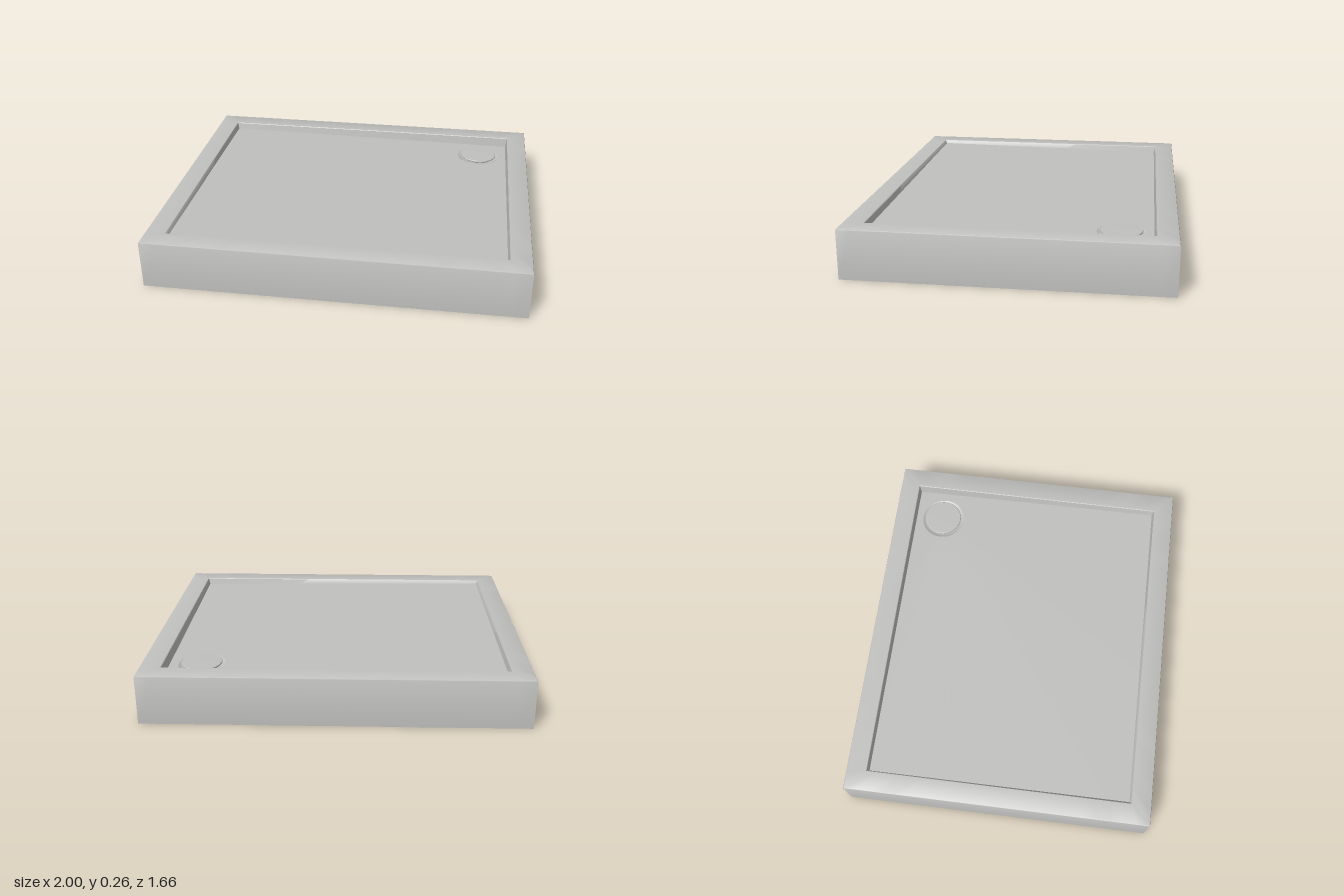
import * as THREE from 'three';
import { toCreasedNormals } from 'three/addons/utils/BufferGeometryUtils.js';

const DRAIN = { x: 0.71, z: -0.55, r: 0.107 };
const HEIGHT = 0.265;
const STEPS = 24; // points along each side of a ring

// Floor falls gently towards the drain corner
const floorY = (x, z) => HEIGHT - 0.037 - 0.01 * x + 0.013 * z;

// Rectangular ring of points; y is a number or a function of x and z
function rectRing(hx, hz, y) {
  const corners = [[-hx, -hz], [-hx, hz], [hx, hz], [hx, -hz]];
  const ring = [];
  corners.forEach(([x0, z0], k) => {
    const [x1, z1] = corners[(k + 1) % 4];
    for (let i = 0; i < STEPS; i++) {
      const t = i / STEPS;
      const x = x0 + (x1 - x0) * t, z = z0 + (z1 - z0) * t;
      ring.push([x, typeof y === 'number' ? y : y(x, z), z]);
    }
  });
  return ring;
}

// Circle round the drain, its points facing those of the given ring
function drainRing(ring, radius, drop) {
  return ring.map(([px, , pz]) => {
    const a = Math.atan2(pz - DRAIN.z, px - DRAIN.x);
    const x = DRAIN.x + radius * Math.cos(a), z = DRAIN.z + radius * Math.sin(a);
    return [x, floorY(x, z) - drop, z];
  });
}

// Skin joining successive rings
function loft(rings) {
  const n = rings[0].length, index = [];
  for (let i = 0; i < rings.length - 1; i++) {
    for (let j = 0; j < n; j++) {
      const a = i * n + j, b = i * n + (j + 1) % n;
      index.push(a, b, b + n, a, b + n, a + n);
    }
  }
  const geo = new THREE.BufferGeometry();
  geo.setAttribute('position', new THREE.Float32BufferAttribute(rings.flat(2), 3));
  geo.setIndex(index);
  return toCreasedNormals(geo, 0.5);
}

export function createModel() {
  const group = new THREE.Group();
  group.name = 'showerTray';
  const enamel = new THREE.MeshStandardMaterial({ color: 0xc0c0be, side: THREE.DoubleSide });
  enamel.name = 'pale grey enamel';
  const add = (name, geo) => {
    const mesh = new THREE.Mesh(geo, enamel);
    mesh.name = name;
    group.add(mesh);
    return mesh;
  };

  // Hollow skirt, softened top edge, flat rim and recess wall
  const floorEdge = rectRing(0.88, 0.712, floorY);
  add('rim', loft([
    rectRing(1, 0.83, 0),
    rectRing(1, 0.83, HEIGHT - 0.006),
    rectRing(0.998, 0.828, HEIGHT - 0.002),
    rectRing(0.994, 0.824, HEIGHT),
    rectRing(0.891, 0.723, HEIGHT),
    rectRing(0.888, 0.72, HEIGHT - 0.003),
    floorEdge,
  ]));

  // Sloping floor
  const dishEdge = drainRing(floorEdge, 0.125, 0);
  add('floor', loft([floorEdge, dishEdge]));

  // Shallow dish round the drain
  add('drainDish', loft([
    dishEdge,
    drainRing(floorEdge, 0.115, 0.006),
    drainRing(floorEdge, 0.1, 0.012),
    drainRing(floorEdge, 0.0001, 0.012),
  ]));

  // Raised round drain cover
  const profile = [[0.085, -0.012], [0.085, 0], [0.104, 0.003], [DRAIN.r, 0.006],
    [DRAIN.r, 0.011], [0.104, 0.014], [0, 0.016]].map(([r, y]) => new THREE.Vector2(r, y));
  const cover = add('drainCover', toCreasedNormals(new THREE.LatheGeometry(profile, 48), 0.6));
  cover.position.set(DRAIN.x, floorY(DRAIN.x, DRAIN.z), DRAIN.z);

  return group;
}
